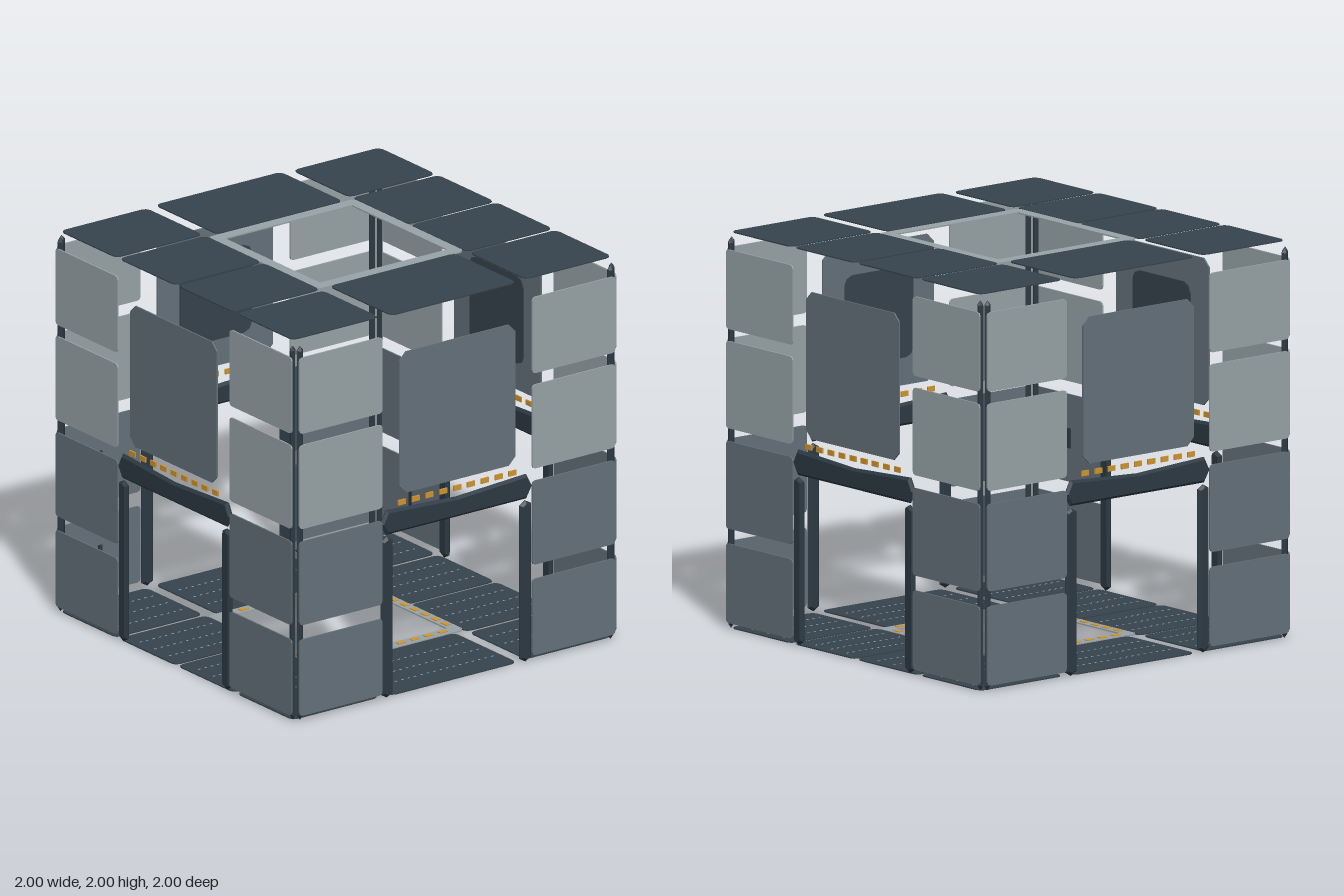
import * as THREE from 'three';

const mat = (name, color) => new THREE.MeshStandardMaterial({ name, color, flatShading: true });
const light = mat('lightGrey', 0x98a4a8);
const mid = mat('slateGrey', 0x64717b);
const dark = mat('darkSlate', 0x36434d);
const trim = mat('frameDark', 0x2c3943);
const amber = mat('amber', 0xd2962f);

// Flat outline from points
const outline = pts => new THREE.Shape(pts.map(p => new THREE.Vector2(p[0], p[1])));

// Rectangle with clipped corners, softened by a second cut when round
function clippedRect(w, h, r, round) {
  const x = w / 2, y = h / 2, pts = [];
  const k = r * 0.3;
  for (const [sx, sy, flip] of [[1, 1, 0], [-1, 1, 1], [-1, -1, 0], [1, -1, 1]]) {
    const c = round ? [[x, y - r], [x - k, y - k], [x - r, y]] : [[x, y - r], [x - r, y]];
    if (flip) c.reverse();
    c.forEach(p => pts.push([sx * p[0], sy * p[1]]));
  }
  return outline(pts);
}

function add(parent, name, geo, material, x, y, z) {
  const mesh = new THREE.Mesh(geo, material);
  mesh.name = name;
  mesh.position.set(x, y, z);
  parent.add(mesh);
  return mesh;
}

// Plate spanning x0..x1, y0..y1 whose outer face lies at z
function plate(parent, name, material, x0, x1, y0, y1, z, r = 0.03, round = true, depth = 0.008) {
  const geo = new THREE.ExtrudeGeometry(clippedRect(x1 - x0, y1 - y0, r, round),
    { depth, bevelEnabled: false });
  return add(parent, name, geo, material, (x0 + x1) / 2, (y0 + y1) / 2, z - depth);
}

// Beam with bevelled front and back edges, 0.03 deep
function beam(parent, name, pts) {
  const geo = new THREE.ExtrudeGeometry(outline(pts), {
    depth: 0.004, bevelEnabled: true, bevelSegments: 1,
    bevelSize: 0.013, bevelThickness: 0.013, bevelOffset: -0.013,
  });
  return add(parent, name, geo, trim, 0, 0, 0.983);
}

// Upright pointed strip
const upright = (x0, x1, y0, y1) => {
  const m = (x0 + x1) / 2;
  return [[x0, y0 + 0.02], [m, y0], [x1, y0 + 0.02], [x1, y1 - 0.02], [m, y1], [x0, y1 - 0.02]];
};

function createWall() {
  const wall = new THREE.Group();
  wall.name = 'wall';
  const rows = [[0.03, 0.43, mid], [0.505, 0.945, mid], [1.01, 1.45, light], [1.51, 1.91, light]];
  for (const s of [-1, 1]) {
    // Side panels
    for (const [y0, y1, m] of rows) {
      plate(wall, 'sidePanel', m, s * 0.715 - 0.255, s * 0.715 + 0.255, y0, y1, 0.999, 0.018);
    }
    // Slots on the inner face of the lower panels
    for (const y of [0.23, 0.725]) {
      add(wall, 'panelSlot', new THREE.BoxGeometry(0.02, 0.1, 0.009), trim, s * 0.71, y, 0.987);
    }
    // Door jambs and corner strips
    const j = s * 0.425;
    beam(wall, 'doorJamb', upright(j - 0.035, j + 0.035, 0.005, 0.85));
    const c = s * 0.954;
    const strip = beam(wall, 'cornerStrip', upright(c - 0.018, c + 0.018, 0.005, 1.965));
    strip.position.z = 0.977;
  }
  // Door lintel
  beam(wall, 'doorLintel', [[-0.465, 0.92], [-0.43, 0.86], [0.43, 0.86], [0.465, 0.92],
    [0.43, 0.988], [0, 0.965], [-0.43, 0.988]]);
  // Large panel above the door with an inset on its inner face
  plate(wall, 'centerPanel', mid, -0.355, 0.355, 1.06, 1.8, 0.999, 0.04, false);
  plate(wall, 'innerInset', dark, -0.22, 0.22, 1.2, 1.66, 0.99, 0.05, true, 0.006);
  // Row of lamps
  for (let i = -4; i <= 4; i++) {
    add(wall, 'wallLamp', new THREE.BoxGeometry(0.046, 0.027, 0.008), amber, i * 0.085, 1.015, 0.995);
  }
  return wall;
}

// Horizontal deck drawn in XY with its outer face at z = 0 and the room on -z
function createDeck(name, isFloor) {
  const deck = new THREE.Group();
  deck.name = name;
  const panels = [];
  for (const s of [-1, 1]) {
    for (const y of [-0.725, -0.24, 0.24, 0.725]) {
      panels.push([s * 0.715 - 0.265, s * 0.715 + 0.265, y - 0.23, y + 0.23]);
    }
    panels.push([-0.385, 0.385, s * 0.715 - 0.255, s * 0.715 + 0.255]);
  }
  for (const [x0, x1, y0, y1] of panels) {
    plate(deck, 'deckPanel', dark, x0, x1, y0, y1, 0, 0.03, true, 0.006);
    // Rows of small grip marks on the floor
    if (isFloor) {
      const n = Math.round((x1 - x0 - 0.1) / 0.04);
      for (let r = -1; r <= 1; r++) for (let i = 0; i <= n; i++) {
        add(deck, 'gripMark', new THREE.BoxGeometry(0.014, 0.005, 0.002), light,
          x0 + 0.05 + i * (x1 - x0 - 0.1) / n, (y0 + y1) / 2 + r * 0.12, -0.007);
      }
    }
  }
  // Square frame around the opening, with lamps facing the room
  const ring = clippedRect(0.9, 0.91, 0.02, false);
  ring.holes.push(outline([[-0.39, -0.39], [-0.39, 0.39], [0.39, 0.39], [0.39, -0.39]]));
  add(deck, 'openingFrame', new THREE.ExtrudeGeometry(ring, { depth: 0.007, bevelEnabled: false }),
    light, 0, 0, -0.009);
  for (let k = 0; k < 4; k++) {
    const side = new THREE.Group();
    side.name = 'frameLamps';
    side.rotation.z = k * Math.PI / 2;
    for (let i = -4; i <= 4; i++) {
      add(side, 'frameLamp', new THREE.BoxGeometry(0.046, 0.027, 0.004), amber, i * 0.085, 0.42, -0.011);
    }
    deck.add(side);
  }
  return deck;
}

export function createModel() {
  const model = new THREE.Group();
  model.name = 'roomModule';
  // Four matching walls
  for (let k = 0; k < 4; k++) {
    const wall = createWall();
    wall.rotation.y = k * Math.PI / 2;
    model.add(wall);
  }
  // Floor and ceiling
  const floor = createDeck('floor', true);
  floor.rotation.x = Math.PI / 2;
  const ceiling = createDeck('ceiling', false);
  ceiling.rotation.x = -Math.PI / 2;
  ceiling.position.y = 2;
  model.add(floor, ceiling);
  return model;
}
